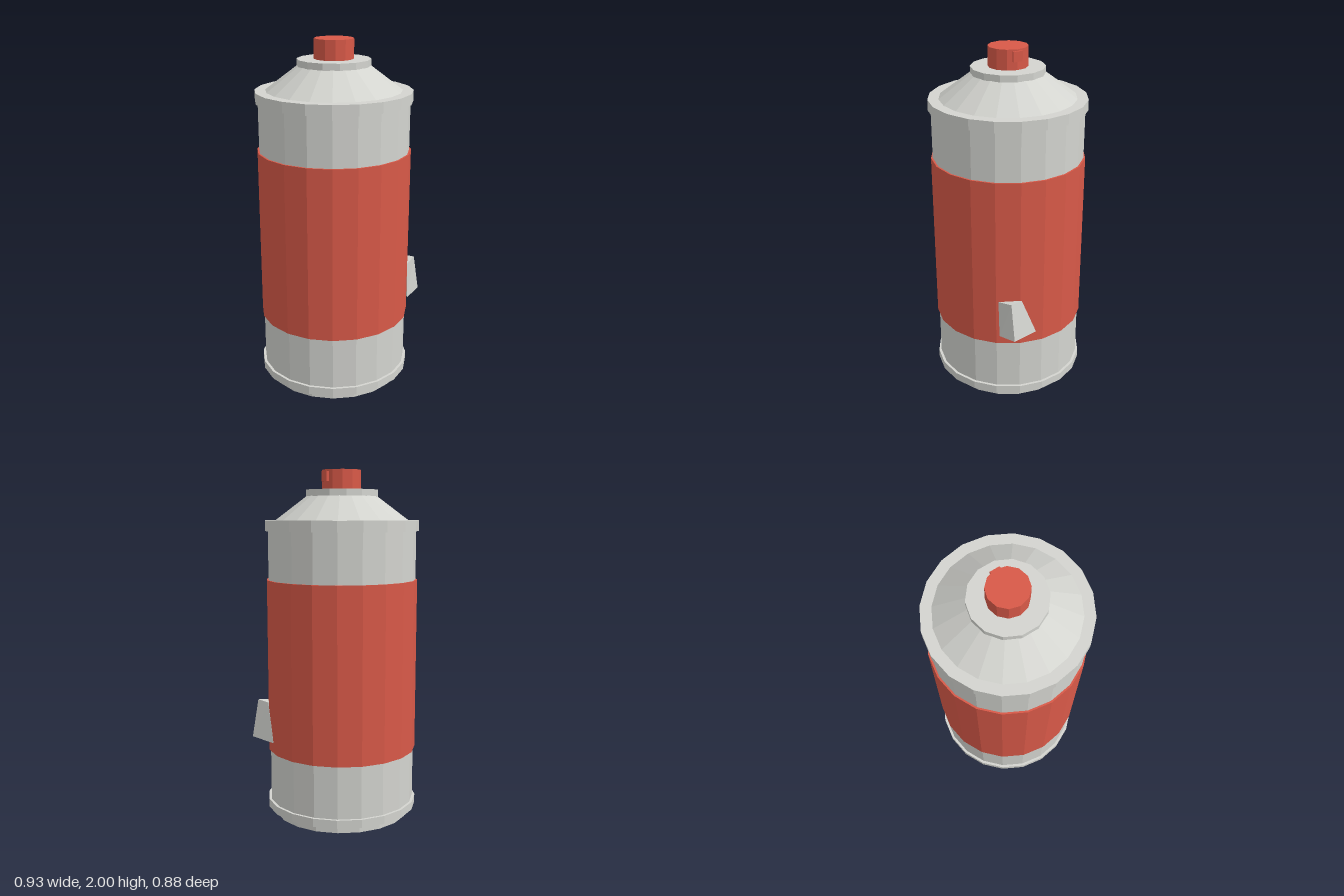
import * as THREE from 'three';

export function createModel() {
  const group = new THREE.Group();
  const metal = new THREE.MeshStandardMaterial({ name: 'pale metal', color: 0xd3d4cf, flatShading: true });
  const red = new THREE.MeshStandardMaterial({ name: 'red paint', color: 0xd85948, flatShading: true });

  const add = (name, geometry, material) => {
    const mesh = new THREE.Mesh(geometry, material);
    mesh.name = name;
    group.add(mesh);
    return mesh;
  };

  // The can: stacked faceted rings on one axis, slightly off centre
  const axisX = -0.025;
  const ring = (name, y0, y1, rBottom, rTop, sides, material) => {
    const mesh = add(name, new THREE.CylinderGeometry(rTop, rBottom, y1 - y0, sides), material);
    mesh.position.set(axisX, (y0 + y1) / 2, 0);
  };
  ring('base', 0, 0.045, 0.395, 0.395, 20, metal);
  ring('lowerRim', 0.045, 0.092, 0.44, 0.44, 20, metal);
  ring('body', 0.092, 1.66, 0.425, 0.425, 20, metal);
  ring('labelBand', 0.395, 1.385, 0.435, 0.435, 20, red);
  ring('upperRim', 1.66, 1.72, 0.44, 0.44, 20, metal);
  ring('shoulder', 1.72, 1.855, 0.38, 0.2, 20, metal);
  ring('collar', 1.853, 1.89, 0.205, 0.205, 14, metal);
  ring('sprayButton', 1.89, 2, 0.11, 0.11, 12, red);

  // Small outlet on the side of the button
  const outlet = add('nozzleOutlet', new THREE.BoxGeometry(0.035, 0.055, 0.054), red);
  outlet.position.set(0.0745, 1.963, 0);

  // Tapered three-sided flap peeling out of the wall: bottom then top corners
  const corners = [
    [0.345, 0.45, 0.244], [0.46, 0.47, 0.207], [0.41, 0.46, 0.045],
    [0.334, 0.67, 0.244], [0.42, 0.687, 0.207], [0.395, 0.68, 0.13],
  ];
  const flap = new THREE.BufferGeometry();
  flap.setAttribute('position', new THREE.Float32BufferAttribute(corners.flat(), 3));
  const faces = [0, 2, 1, 3, 4, 5];
  for (let i = 0; i < 3; i++) {
    const j = (i + 1) % 3;
    faces.push(i, j, j + 3, i, j + 3, i + 3);
  }
  flap.setIndex(faces);
  const flat = flap.toNonIndexed();
  flat.computeVertexNormals();
  add('sideFlap', flat, metal);

  return group;
}
